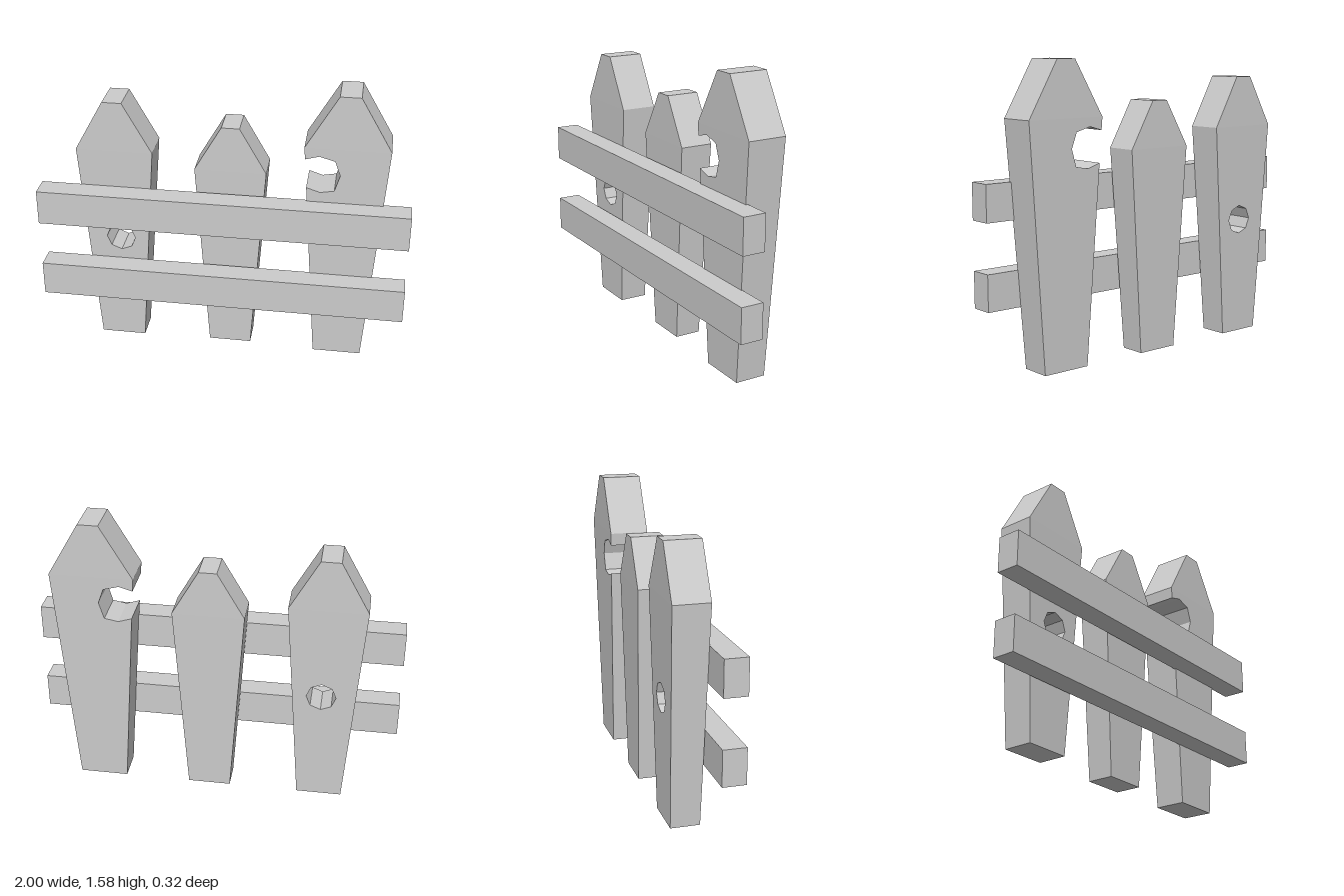
import * as THREE from 'three';

const material = new THREE.MeshStandardMaterial({ color: 0xcccccc, flatShading: true });
const toPoints = (list) => list.map(([x, y]) => new THREE.Vector2(x, y));

// Octagonal knot hole
function octagon(cx, cy, r) {
  return Array.from({ length: 8 }, (_, i) => {
    const a = (i * Math.PI) / 4;
    return [cx + r * Math.cos(a), cy + r * Math.sin(a)];
  });
}

// Picket: tapered body up to the shoulder, then a pointed head with a blunt tip.
// Depth grows linearly from the foot to the shoulder and stays constant above.
function makePicket({ name, foot, shoulder, tip, shoulderY, topY, back, front, hole, notch = [] }) {
  const body = new THREE.Shape(toPoints([
    [foot[0], 0], [foot[1], 0], [shoulder[1], shoulderY], [shoulder[0], shoulderY], ...notch,
  ]));
  if (hole) body.holes.push(new THREE.Path(toPoints(hole)));
  const head = new THREE.Shape(toPoints([
    [shoulder[0], shoulderY], [shoulder[1], shoulderY], [tip[1], topY], [tip[0], topY],
  ]));

  const mid = (front + back) / 2;
  const depth = front - back;
  const positions = [];
  for (const shape of [body, head]) {
    const p = new THREE.ExtrudeGeometry(shape, { depth: 1, bevelEnabled: false }).toNonIndexed().attributes.position;
    for (let i = 0; i < p.count; i += 3) {
      const corners = [i, i + 1, i + 2];
      // Leave out the hidden seam between body and head
      if (corners.every((k) => Math.abs(p.getY(k) - shoulderY) < 1e-4)) continue;
      for (const k of corners) {
        const y = p.getY(k);
        const taper = 0.8 + 0.2 * Math.min(y / shoulderY, 1);
        positions.push(p.getX(k), y, mid + (p.getZ(k) - 0.5) * depth * taper);
      }
    }
  }
  const geometry = new THREE.BufferGeometry();
  geometry.setAttribute('position', new THREE.Float32BufferAttribute(positions, 3));
  geometry.computeVertexNormals();
  const mesh = new THREE.Mesh(geometry, material);
  mesh.name = name;
  return mesh;
}

// Horizontal rail across the front of the pickets
function makeRail(name, y0, y1) {
  const z0 = 0.032, z1 = 0.158;
  const mesh = new THREE.Mesh(new THREE.BoxGeometry(2, y1 - y0, z1 - z0), material);
  mesh.position.set(0, (y0 + y1) / 2, (z0 + z1) / 2);
  mesh.name = name;
  return mesh;
}

export function createModel() {
  const fence = new THREE.Group();
  fence.name = 'fence';

  fence.add(
    // Right picket with a knot hole
    makePicket({
      name: 'rightPicket', foot: [-0.714, -0.465], shoulder: [-0.797, -0.382], tip: [-0.642, -0.537],
      shoulderY: 1.187, topY: 1.465, back: -0.16, front: 0.037,
      hole: octagon(-0.575, 0.654, 0.08),
    }),
    // Short middle picket
    makePicket({
      name: 'middlePicket', foot: [-0.083, 0.152], shoulder: [-0.158, 0.227], tip: [-0.013, 0.083],
      shoulderY: 1.104, topY: 1.355, back: -0.158, front: 0.022,
    }),
    // Tall left picket with a bite out of its inner edge
    makePicket({
      name: 'leftPicket', foot: [0.516, 0.783], shoulder: [0.425, 0.874], tip: [0.594, 0.703],
      shoulderY: 1.287, topY: 1.58, back: -0.162, front: 0.05,
      notch: [[0.43, 1.219], [0.503, 1.24], [0.587, 1.217], [0.617, 1.134], [0.59, 1.043], [0.516, 1.029], [0.442, 1.053]],
    }),
    makeRail('upperRail', 0.778, 0.972),
    makeRail('lowerRail', 0.328, 0.521),
  );
  return fence;
}
